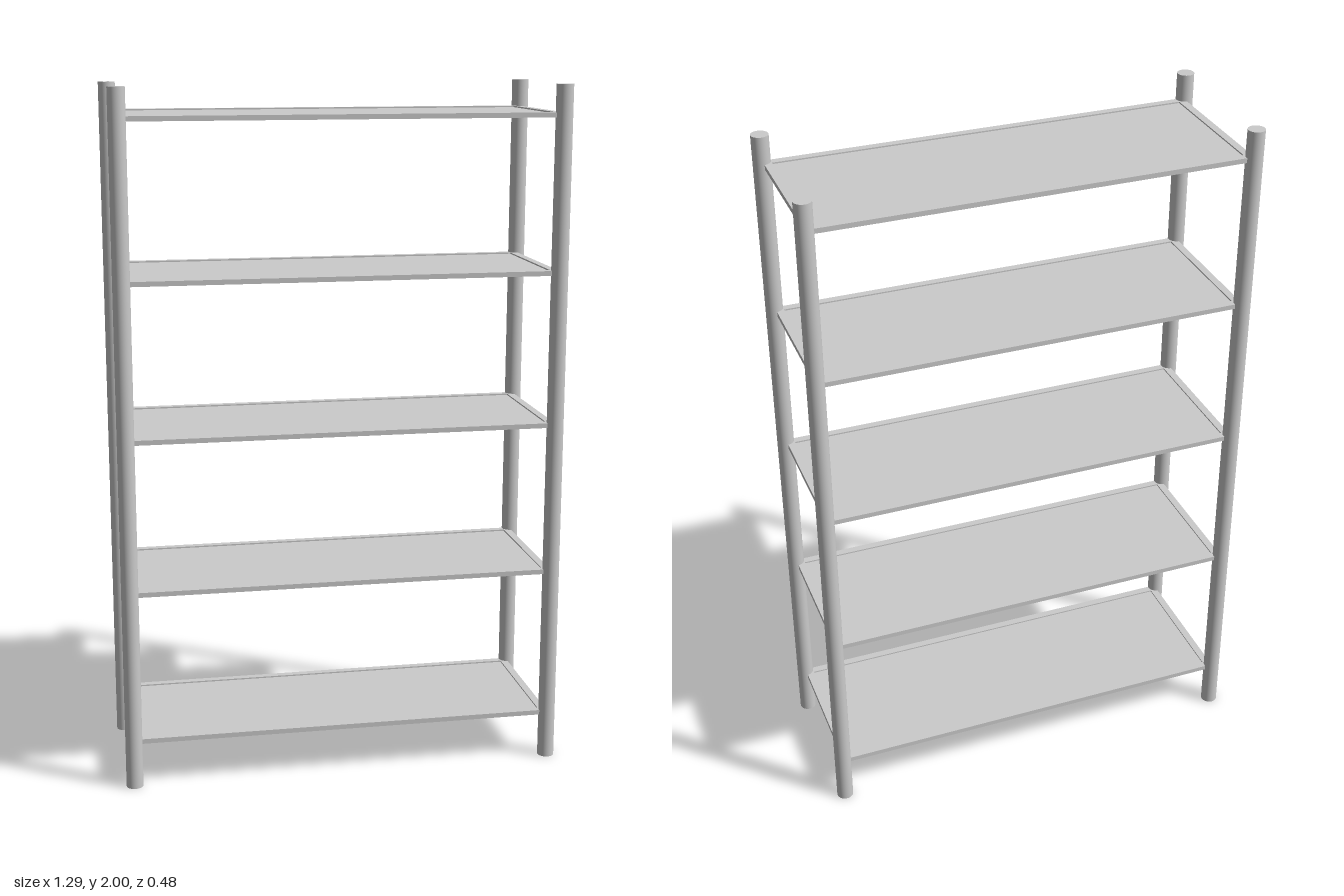
import * as THREE from 'three';

const HALF_X = 0.62, HALF_Z = 0.222; // shelf outline
const RIM = 0.022, RIM_H = 0.014, PANEL_H = 0.006;

function rectangle(target, hx, hz) {
  target.moveTo(-hx, -hz);
  target.lineTo(hx, -hz);
  target.lineTo(hx, hz);
  target.lineTo(-hx, hz);
  target.closePath();
  return target;
}

export function createModel() {
  const model = new THREE.Group();
  model.name = 'shelfRack';
  const material = new THREE.MeshStandardMaterial({ color: 0xcccccc });

  // Four round corner posts
  const postGeometry = new THREE.CylinderGeometry(0.0245, 0.0245, 2, 32);
  for (const sx of [1, -1]) {
    for (const sz of [1, -1]) {
      const post = new THREE.Mesh(postGeometry, material);
      post.name = (sz > 0 ? 'front' : 'back') + (sx > 0 ? 'Left' : 'Right') + 'Post';
      post.position.set(sx * 0.622, 1, sz * 0.217);
      model.add(post);
    }
  }

  // Shelf rim: a flat frame with an open centre
  const outline = rectangle(new THREE.Shape(), HALF_X, HALF_Z);
  outline.holes.push(rectangle(new THREE.Path(), HALF_X - RIM, HALF_Z - RIM));
  const rimGeometry = new THREE.ExtrudeGeometry(outline, { depth: RIM_H, bevelEnabled: false });
  rimGeometry.translate(0, 0, -RIM_H / 2).rotateX(-Math.PI / 2);

  // Thin panel set into the rim
  const panelGeometry = new THREE.BoxGeometry(2 * (HALF_X - RIM), PANEL_H, 2 * (HALF_Z - RIM));

  // Five evenly spaced shelves
  for (let i = 0; i < 5; i++) {
    const shelf = new THREE.Group();
    shelf.name = `shelf${i + 1}`;
    const rim = new THREE.Mesh(rimGeometry, material);
    rim.name = 'shelfRim';
    const panel = new THREE.Mesh(panelGeometry, material);
    panel.name = 'shelfPanel';
    shelf.add(rim, panel);
    shelf.position.y = 0.137 + i * 0.4445;
    model.add(shelf);
  }
  return model;
}
